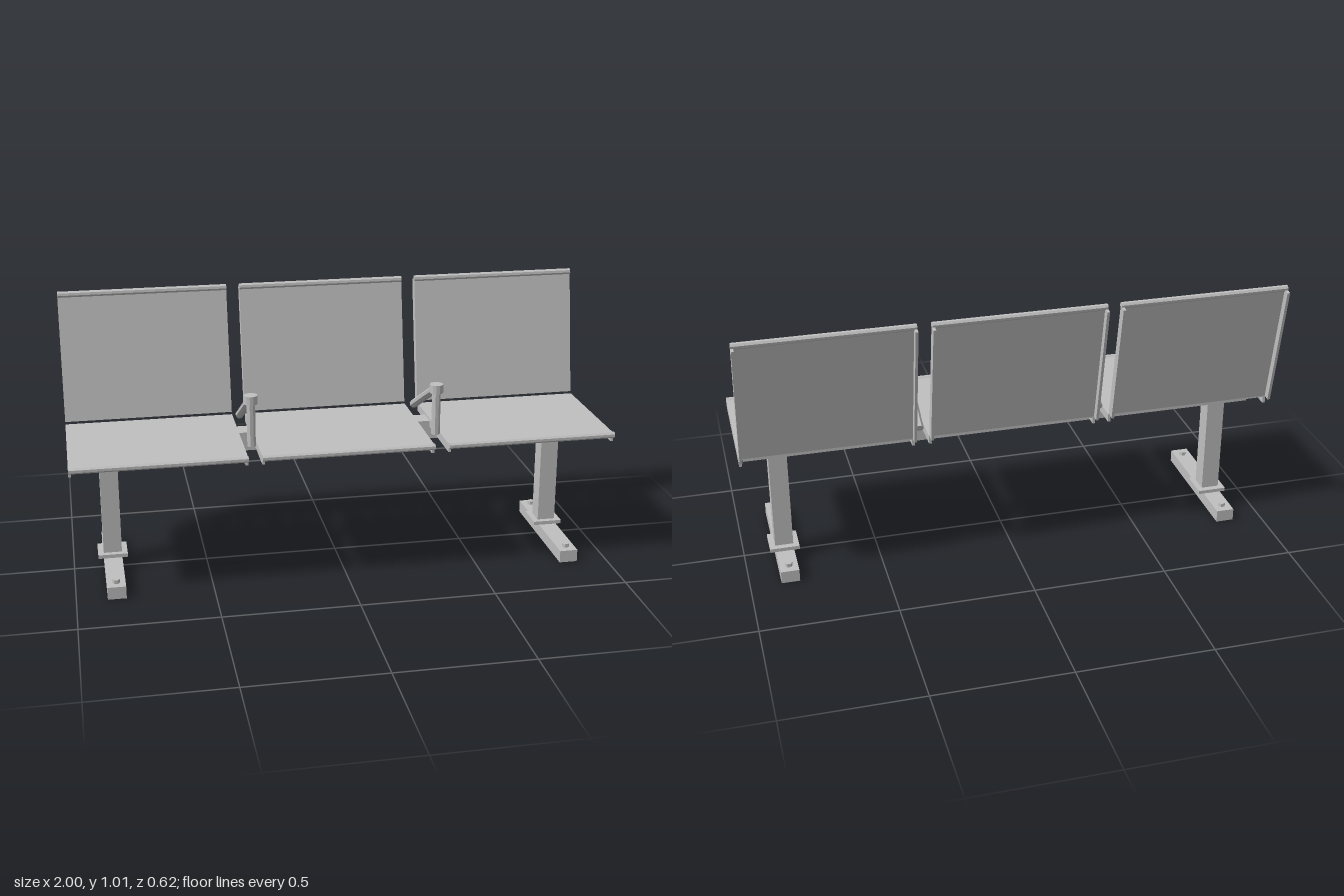
import * as THREE from 'three';

const metal = new THREE.MeshStandardMaterial({ color: 0xc0c0c0, flatShading: true });
metal.name = 'brushed grey metal';

const SEAT_W = 0.632;
const FLANGE = 0.01;

// Box given by its limits on each axis
function box(parent, name, [x0, x1], [y0, y1], [z0, z1]) {
  const mesh = new THREE.Mesh(new THREE.BoxGeometry(x1 - x0, y1 - y0, z1 - z0), metal);
  mesh.name = name;
  mesh.position.set((x0 + x1) / 2, (y0 + y1) / 2, (z0 + z1) / 2);
  parent.add(mesh);
  return mesh;
}

// Straight faceted rod between two points
function rod(parent, name, a, b, radius, sides) {
  const from = new THREE.Vector3(...a), to = new THREE.Vector3(...b);
  const dir = to.clone().sub(from);
  const geo = new THREE.CylinderGeometry(radius, radius, dir.length(), sides);
  geo.rotateY(Math.PI / sides);
  const mesh = new THREE.Mesh(geo, metal);
  mesh.name = name;
  mesh.position.copy(from).add(to).multiplyScalar(0.5);
  mesh.quaternion.setFromUnitVectors(new THREE.Vector3(0, 1, 0), dir.normalize());
  parent.add(mesh);
  return mesh;
}

// Pressed seat pan and leaning back, each a thin sheet with side flanges and a rolled edge
function makeSeat(x) {
  const seat = new THREE.Group();
  seat.name = 'seat';
  seat.position.x = x;
  const h = SEAT_W / 2;

  box(seat, 'seatPan', [-h, h], [0.507, 0.515], [-0.181, 0.291]);
  rod(seat, 'seatFrontRoll', [-h, 0.51, 0.298], [h, 0.51, 0.298], 0.012, 8);

  const back = new THREE.Group();
  back.name = 'backrest';
  back.position.set(0, 0.522, -0.188);
  back.rotation.x = -0.178;
  seat.add(back);
  box(back, 'backSheet', [-h, h], [0, 0.477], [-0.008, 0]);
  rod(back, 'backTopRoll', [-h, 0.48, -0.004], [h, 0.48, -0.004], 0.012, 8);

  for (const s of [-1, 1]) {
    const span = s < 0 ? [-h, -h + FLANGE] : [h - FLANGE, h];
    box(seat, 'seatFlange', span, [0.483, 0.507], [-0.181, 0.291]);
    box(back, 'backFlange', span, [0, 0.477], [-0.034, -0.008]);
  }
  return seat;
}

// Armrest: post, cap and sloping bar in the gap between seats
function makeArmrest(x) {
  const arm = new THREE.Group();
  arm.name = 'armrest';
  arm.position.x = x;
  rod(arm, 'armPost', [0, 0.525, 0.204], [0, 0.69, 0.204], 0.016, 8);
  rod(arm, 'armCap', [0, 0.685, 0.204], [0, 0.717, 0.204], 0.025, 12);
  rod(arm, 'armBar', [0, 0.698, 0.194], [0, 0.527, -0.138], 0.016, 8);
  return arm;
}

// Leg with base plate, floor foot and two bolts
function makeLeg(x) {
  const leg = new THREE.Group();
  leg.name = 'leg';
  leg.position.x = x;
  box(leg, 'legPost', [-0.034, 0.034], [0.06, 0.44], [-0.057, 0.011]);
  box(leg, 'legPlate', [-0.055, 0.055], [0.047, 0.061], [-0.08, 0.032]);
  box(leg, 'foot', [-0.034, 0.034], [0, 0.047], [-0.222, 0.288]);
  for (const z of [0.248, -0.183]) {
    rod(leg, 'footBolt', [0, 0.045, z], [0, 0.061, z], 0.014, 6);
  }
  return leg;
}

export function createModel() {
  const bench = new THREE.Group();
  bench.name = 'threeSeatBench';

  for (const x of [-0.684, -0.002, 0.682]) bench.add(makeSeat(x));
  for (const x of [-0.344, 0.339]) bench.add(makeArmrest(x));
  for (const x of [-0.854, 0.852]) bench.add(makeLeg(x));

  // Long beam carrying the seats
  box(bench, 'supportBeam', [-0.978, 0.976], [0.436, 0.507], [-0.062, 0.013]);
  return bench;
}
